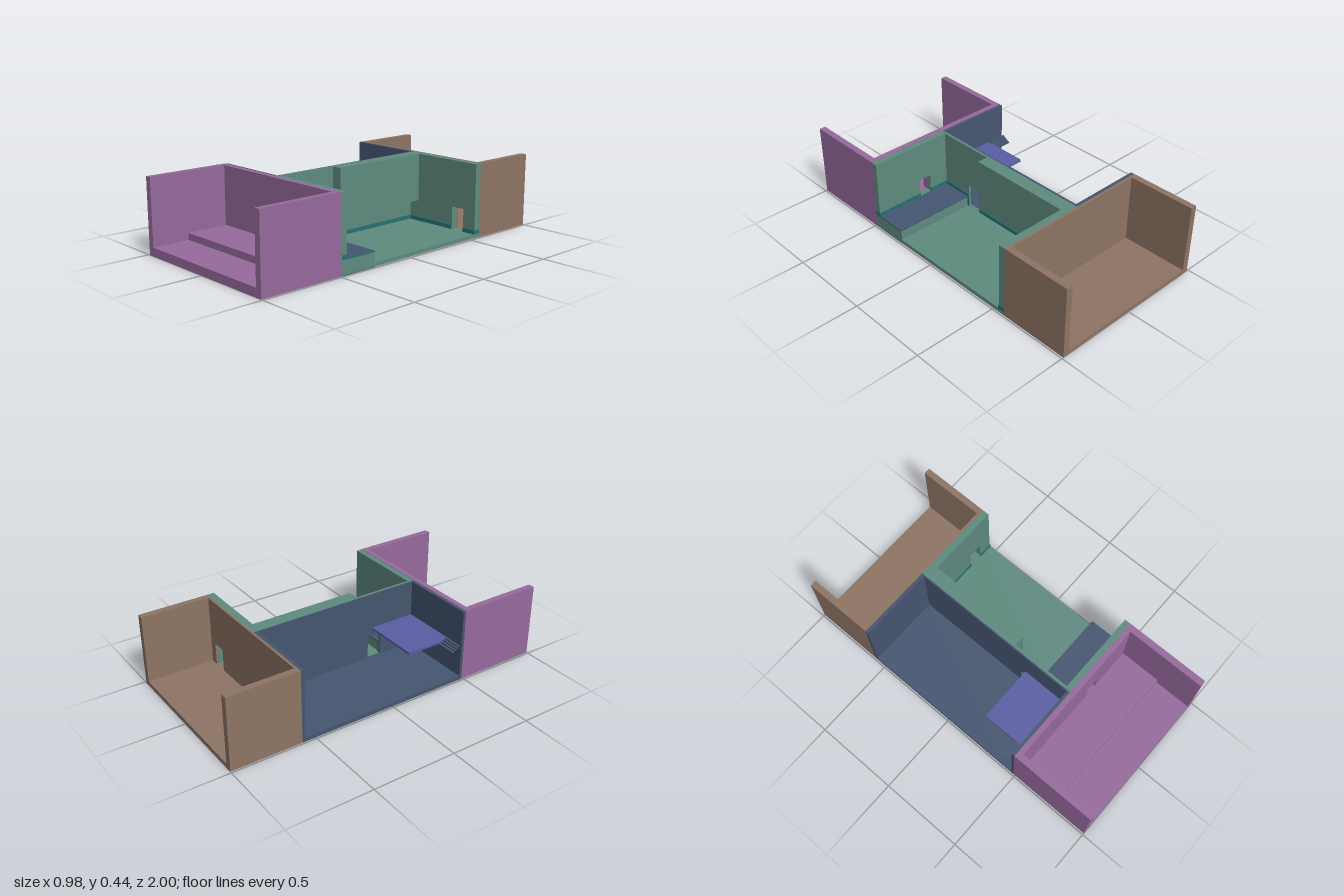
import * as THREE from 'three';

const mat = (name, color) => Object.assign(new THREE.MeshStandardMaterial({ color }), { name });

export function createModel() {
  const model = new THREE.Group();
  const purple = mat('purple', 0x966a9c);
  const brown = mat('brown', 0x8e7564);
  const green = mat('green', 0x5f8b80);
  const navy = mat('navy', 0x465671);
  const blue = mat('blue', 0x5a5ea3);
  const teal = mat('teal', 0x267274);
  const grey = mat('grey', 0x9c9c9c);
  const H = 0.435, W = 0.49;

  // Box given by its extents on each axis
  function box(name, m, x0, x1, y0, y1, z0, z1) {
    const mesh = new THREE.Mesh(new THREE.BoxGeometry(x1 - x0, y1 - y0, z1 - z0), m);
    mesh.position.set((x0 + x1) / 2, (y0 + y1) / 2, (z0 + z1) / 2);
    mesh.name = name;
    model.add(mesh);
    return mesh;
  }

  // Wall with a doorway [a0, a1, y0, y1]; runs along x, or along z when alongZ is set
  function doorWall(name, m, a0, a1, t0, t1, door, alongZ = false, top = H) {
    const rect = (C, l, r, b, t) => {
      const p = new C();
      p.moveTo(l, b); p.lineTo(r, b); p.lineTo(r, t); p.lineTo(l, t); p.closePath();
      return p;
    };
    const s = alongZ ? -1 : 1;
    const shape = rect(THREE.Shape, Math.min(s * a0, s * a1), Math.max(s * a0, s * a1), 0, top);
    const [d0, d1, y0, y1] = door;
    shape.holes.push(rect(THREE.Path, Math.min(s * d0, s * d1), Math.max(s * d0, s * d1), y0, y1));
    const g = new THREE.ExtrudeGeometry(shape, { depth: t1 - t0, bevelEnabled: false });
    g.translate(0, 0, t0);
    if (alongZ) g.rotateY(Math.PI / 2);
    const mesh = new THREE.Mesh(g, m);
    mesh.name = name;
    model.add(mesh);
  }

  const frontDoor = [0.11, 0.19, 0.09, 0.2];
  const backDoor = [0.32, 0.405, 0.025, 0.16];
  const sideDoor = [0.16, 0.25, 0.027, 0.17];

  // Front room: stepped floor, open to the front
  doorWall('frontRoomWall', purple, -W, W, 0.49, 0.522, frontDoor, false, 0.437);
  box('frontRoomFloor', purple, -0.452, 0.452, 0, 0.05, 0.522, 1);
  box('frontRoomStep', purple, -0.452, 0.452, 0.05, 0.09, 0.522, 0.775);
  for (const s of [-1, 1]) {
    const [a, b] = s > 0 ? [0.452, W] : [-W, -0.452];
    box('frontRoomSide', purple, a, b, 0, 0.437, 0.522, 1);
    box('backRoomSide', brown, a, b, 0, H, -1, -0.595);
  }

  // Back room, open to the back
  doorWall('backRoomWall', brown, -W, W, -0.595, -0.58, backDoor);
  box('backRoomFloor', brown, -0.452, 0.452, 0, 0.025, -1, -0.595);

  // Left room, open on its +x side, with a raised platform
  box('leftFloor', green, -0.03, W, 0.004, 0.025, -0.58, 0.49);
  box('leftFloorUnderside', grey, -0.03, W, 0, 0.004, -0.58, 0.26);
  box('platformUnderside', navy, -0.03, W, 0, 0.004, 0.26, 0.49);
  box('leftPlatform', green, -0.015, W, 0.025, 0.084, 0.26, 0.455);
  box('platformTop', navy, -0.015, W, 0.084, 0.09, 0.26, 0.455);
  doorWall('leftRoomFrontWall', green, -0.03, W, 0.455, 0.49, frontDoor);
  doorWall('leftRoomBackWall', green, -0.03, W, -0.58, -0.54, backDoor);
  doorWall('dividingWall', green, -0.54, 0.455, -0.03, -0.015, sideDoor, true);
  box('wallCabinet', green, -0.015, 0.05, 0.15, H, -0.54, 0.095);

  // Baseboards follow the floor and the platform
  const t = 0.005;
  box('baseboard', teal, -0.015, -0.015 + t, 0.025, 0.048, -0.54, 0.16);
  box('baseboard', teal, -0.015, -0.015 + t, 0.025, 0.11, 0.25, 0.262);
  box('baseboard', teal, -0.015, -0.015 + t, 0.09, 0.11, 0.262, 0.455);
  box('baseboard', teal, -0.01, 0.32, 0.025, 0.048, -0.54, -0.54 + t);
  box('baseboard', teal, 0.405, W, 0.025, 0.048, -0.54, -0.54 + t);
  box('baseboard', teal, -0.01, 0.11, 0.09, 0.11, 0.455 - t, 0.455);
  box('baseboard', teal, 0.19, W, 0.09, 0.11, 0.455 - t, 0.455);
  box('baseboardEnd', teal, W, W + 0.002, 0.025, 0.048, -0.58, -0.535);
  box('baseboardEnd', teal, W, W + 0.002, 0.085, 0.11, 0.45, 0.49);
  box('platformTrim', teal, W, W + 0.002, 0.083, 0.091, 0.26, 0.45);

  // Right room, open on its -x side
  box('rightFloor', navy, -W, -0.038, 0, 0.025, -0.56, 0.472);
  box('rightRoomFrontWall', navy, -W, -0.03, 0, H, 0.472, 0.49);
  box('rightRoomBackWall', navy, -W, -0.03, 0, H, -0.58, -0.56);
  doorWall('dividingWallLining', navy, -0.56, 0.472, -0.038, -0.03, sideDoor, true);

  // Loft and the small steps beside it
  box('loft', blue, -0.38, -0.038, 0.205, 0.22, 0.19, 0.472);
  for (let i = 0; i < 4; i++) {
    box('loftStep', navy, -W, -0.38, 0.195 + i * 0.008, 0.205 + i * 0.008, 0.405 + i * 0.014, 0.419 + i * 0.014);
  }
  return model;
}
